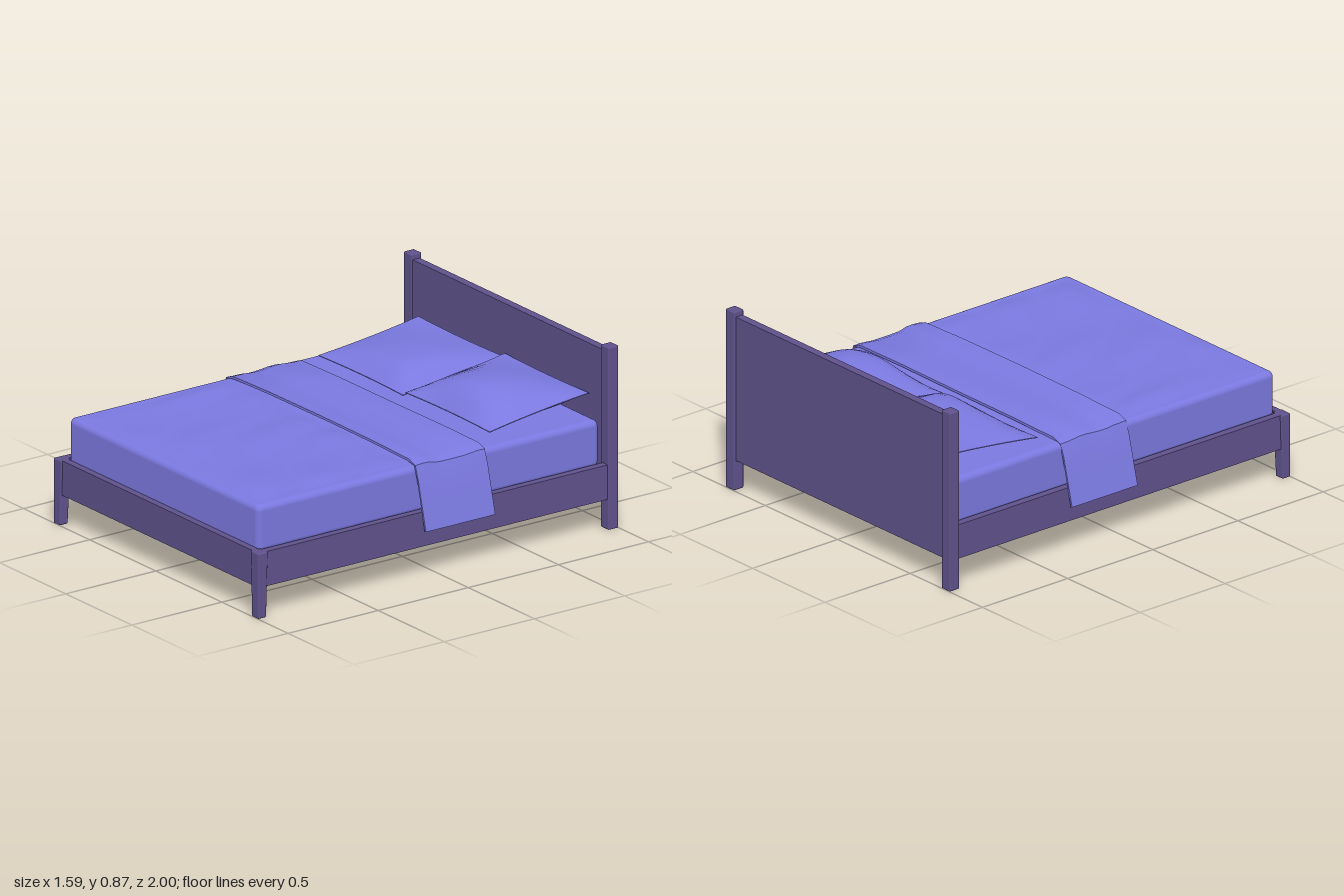
import * as THREE from 'three';
import { toCreasedNormals } from 'three/addons/utils/BufferGeometryUtils.js';
import { RoundedBoxGeometry } from 'three/addons/geometries/RoundedBoxGeometry.js';

const wood = new THREE.MeshStandardMaterial({ color: 0x5f528c });
wood.name = 'dark wood';
const fabric = new THREE.MeshStandardMaterial({ color: 0x7b79e0 });
fabric.name = 'bed linen';

// Move every vertex by a rule
function reshape(geometry, rule) {
  const p = geometry.attributes.position;
  const v = new THREE.Vector3();
  for (let i = 0; i < p.count; i++) {
    v.fromBufferAttribute(p, i);
    rule(v);
    p.setXYZ(i, v.x, v.y, v.z);
  }
  geometry.computeVertexNormals();
  return geometry;
}

export function createModel() {
  const bed = new THREE.Group();
  bed.name = 'bed';

  const add = (name, geometry, material) => {
    const mesh = new THREE.Mesh(geometry, material);
    mesh.name = name;
    bed.add(mesh);
    return mesh;
  };
  const box = (name, x0, x1, y0, y1, z0, z1, material = wood, radius = 0) => {
    const size = [x1 - x0, y1 - y0, z1 - z0];
    const geometry = radius ? new RoundedBoxGeometry(...size, 3, radius) : new THREE.BoxGeometry(...size);
    geometry.translate((x0 + x1) / 2, (y0 + y1) / 2, (z0 + z1) / 2);
    return add(name, geometry, material);
  };

  // Corner posts; the short front ones taper inwards below the rail
  for (const s of [-1, 1]) {
    const side = s > 0 ? 'left' : 'right';
    const xs = [s * 0.715, s * 0.775].sort((a, b) => a - b);
    box(side + 'HeadPost', ...xs, 0, 0.87, -1, -0.943, wood, 0.006);
    const leg = box(side + 'FootPost', ...xs, 0, 0.31, 0.945, 1, wood, 0.006);
    const p = leg.geometry.attributes.position;
    for (let i = 0; i < p.count; i++) {
      const t = 1 - p.getY(i) / 0.31;
      p.setX(i, p.getX(i) - (p.getX(i) - s * 0.775) * 0.18 * t);
      p.setZ(i, p.getZ(i) - (p.getZ(i) - 1) * 0.18 * t);
    }

    // Side rails
    const rail = [s * 0.73, s * 0.768].sort((a, b) => a - b);
    box(side + 'Rail', ...rail, 0.145, 0.31, -0.96, 0.96);
  }

  // Headboard, foot rail and platform
  box('headboard', -0.73, 0.73, 0.145, 0.845, -0.99, -0.95);
  box('footRail', -0.73, 0.73, 0.145, 0.31, 0.958, 0.992);
  box('platform', -0.735, 0.735, 0.147, 0.29, -0.955, 0.96);

  // Mattress
  box('mattress', -0.722, 0.715, 0.285, 0.51, -0.94, 0.957, fabric, 0.03);

  // Rumpled blanket with diagonal creases, fading flat at its edges
  const blanket = new THREE.PlaneGeometry(1.38, 0.88, 46, 32);
  blanket.rotateX(-Math.PI / 2);
  blanket.translate(-0.01, 0, 0.5);
  reshape(blanket, (v) => {
    const ex = Math.min(1, (0.69 - Math.abs(v.x + 0.01)) / 0.1);
    const ez = Math.min(1, (0.44 - Math.abs(v.z - 0.5)) / 0.1);
    const across = v.x * 0.78 - v.z * 0.62;
    const along = v.x * 0.62 + v.z * 0.78;
    const crease = Math.pow(Math.abs(Math.sin(across * 11 + Math.sin(along * 4) * 0.9)), 1.5);
    const ripple = 0.5 + 0.5 * Math.sin(along * 9 + across * 5);
    v.y = 0.508 + Math.max(0, Math.min(ex, ez)) * (0.004 + 0.014 * crease * ripple);
  });
  add('blanket', blanket, fabric).material = fabric;

  // Folded throw: a thin strip laid over the bed and hanging past both rails
  const half = [[0, 0.528], [0.4, 0.527], [0.67, 0.522], [0.715, 0.505], [0.738, 0.45], [0.765, 0.345], [0.796, 0.222]];
  const outer = [...half.slice(1).reverse().map(([x, y]) => [-x, y]), ...half];
  const inner = outer.map(([x, y]) => [x * 0.988, y - (Math.abs(x) < 0.7 ? 0.012 : 0.002)]).reverse();
  const strip = new THREE.Shape([...outer, ...inner].map(([x, y]) => new THREE.Vector2(x, y)));
  const throwGeo = new THREE.ExtrudeGeometry(strip, { depth: 0.385, steps: 10, bevelEnabled: false });
  throwGeo.translate(0, 0, -0.3);
  reshape(throwGeo, (v) => {
    if (v.y > 0.5) v.y += 0.008 * Math.max(0, Math.sin((v.z + 0.3) * 20 + v.x * 1.5)) + (v.z > 0 ? 0.005 : 0);
  });
  add('foldedThrow', toCreasedNormals(throwGeo, 0.7), fabric);

  // Pillows: squashed grids, front edge low, back edge resting higher
  const pillow = (name, x0, x1, zBack, zFront, peakY, frontY, backY, peakX) => {
    const geometry = new THREE.BoxGeometry(2, 2, 2, 12, 1, 12);
    reshape(geometry, (v) => {
      const u = v.x, w = v.z, up = v.y > 0;
      const edge = THREE.MathUtils.lerp(backY, frontY, (w + 1) / 2);
      // bulge peaks toward the front on top and toward the back below
      const peakW = up ? 0.5 : -0.6;
      const fw = w > peakW ? (1 - w) / (1 - peakW) : (w + 1) / (1 + peakW);
      const fu = u > peakX ? (1 - u) / (1 - peakX) : (u + 1) / (1 + peakX);
      const soft = (t) => Math.sin(Math.min(1, Math.max(0, t)) * Math.PI / 2);
      const bulge = Math.pow(soft(fu), 0.8) * soft(fw);
      const mid = THREE.MathUtils.lerp(backY, frontY, (peakW + 1) / 2);
      const reach = up ? peakY - mid : 0.517 - mid;
      v.y = edge + (up ? 0.002 : -0.002) + reach * bulge;
      // sides pinch inwards between the corners
      const px = u * (1 - 0.035 * (1 - w * w));
      const pz = w * (1 - 0.035 * (1 - u * u));
      v.x = THREE.MathUtils.lerp(x0, x1, (px + 1) / 2);
      v.z = THREE.MathUtils.lerp(zBack, zFront, (pz + 1) / 2);
    });
    add(name, toCreasedNormals(geometry, 0.6), fabric);
  };
  pillow('rightPillow', -0.645, -0.005, -0.93, -0.375, 0.622, 0.535, 0.6, 0.5);
  pillow('leftPillow', -0.005, 0.63, -0.94, -0.39, 0.658, 0.545, 0.612, 0.1);

  return bed;
}
